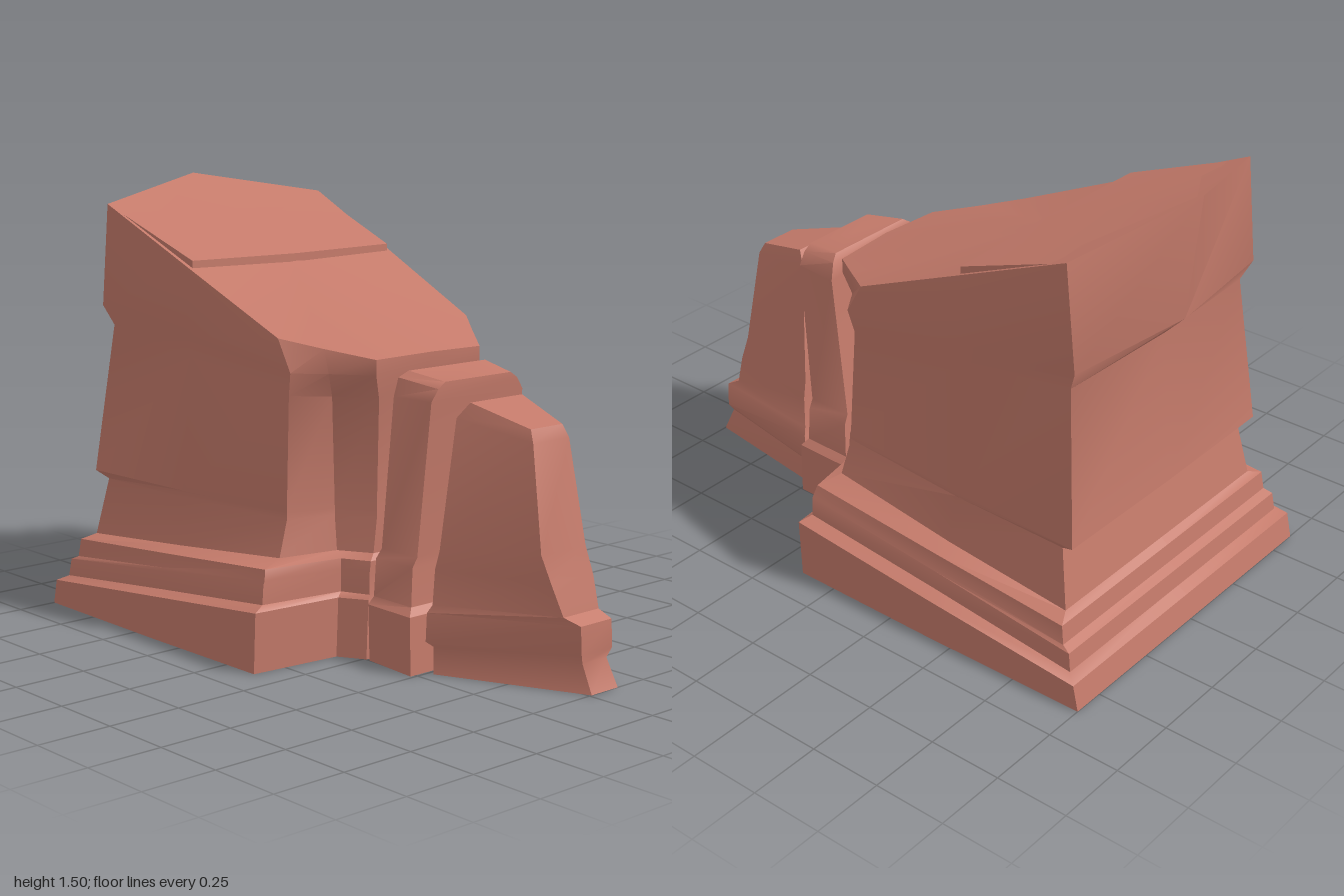
import * as THREE from 'three';
import { toCreasedNormals } from 'three/addons/utils/BufferGeometryUtils.js';

const stone = new THREE.MeshStandardMaterial({ color: 0xc47a6a });
stone.name = 'red sandstone';
const underside = new THREE.MeshStandardMaterial({ color: 0x55524e });
underside.name = 'dark underside';

// Joins stacked rings of [x, y, z] corners into a closed block.
// The centre of the top cap can be placed by hand.
function loft(name, rings, topCentre, crease = 0.6) {
  const pos = [];
  const tri = (a, b, c) => pos.push(...a, ...b, ...c);
  const centre = (r) => [0, 1, 2].map((k) => r.reduce((s, p) => s + p[k], 0) / r.length);
  const n = rings[0].length;
  for (let r = 0; r < rings.length - 1; r++) {
    for (let i = 0; i < n; i++) {
      const j = (i + 1) % n;
      const lo = rings[r], hi = rings[r + 1];
      tri(lo[i], lo[j], hi[j]);
      tri(lo[i], hi[j], hi[i]);
    }
  }
  const top = rings[rings.length - 1], bottom = rings[0];
  const tc = topCentre || centre(top), bc = centre(bottom);
  for (let i = 0; i < n; i++) tri(tc, top[i], top[(i + 1) % n]);
  const split = pos.length / 3;
  for (let i = 0; i < n; i++) tri(bc, bottom[(i + 1) % n], bottom[i]);

  const geo = new THREE.BufferGeometry();
  geo.setAttribute('position', new THREE.Float32BufferAttribute(pos, 3));
  geo.addGroup(0, split, 0);
  geo.addGroup(split, pos.length / 3 - split, 1);
  const mesh = new THREE.Mesh(toCreasedNormals(geo, crease), [stone, underside]);
  mesh.name = name;
  return mesh;
}

// Mirrors a half outline, which runs from the back centre to the nose centre.
const mirrorRing = (half) => [
  ...half,
  ...half.slice(1, -1).reverse().map(([x, y, z]) => [x, y, -z]),
];

// Ring of the main block; its height slopes from back to shoulder.
function bodyRing([yb, yf, xa, xb, zb, zm, xc, zc, xd, zd, xe, ze]) {
  const y = (x) => yb + (yf - yb) * Math.min(1, (x + 1) / 1.12);
  const pts = [[xa, 0], [xb, zb], [-0.4, zm], [xc, zc], [xd, zd], [xe, ze], [xe + 0.005, 0]];
  return mirrorRing(pts.map(([x, z]) => [x, y(x), z]));
}

// Four-cornered ring: y at both ends, x at both ends, half width, far-end z range.
const slabRing = ([y0, y1, x0, x1, z0, zn, zp]) => [
  [x0, y0, -z0], [x0, y0, z0], [x1, y1, zp], [x1, y1, zn],
];

export function createModel() {
  const group = new THREE.Group();
  group.name = 'brokenStonePedestal';

  // Stepped base, leaning wall and cornice of the main block
  const base = [
    [0, 0, -1, -1, 0.61, 0.62, 0.14, 0.62, 0.17, 0.3, 0.26, 0.25],
    [0.085, 0.2, -0.98, -0.98, 0.61, 0.62, 0.15, 0.62, 0.18, 0.3, 0.27, 0.25],
    [0.1, 0.215, -0.945, -0.945, 0.58, 0.575, 0.13, 0.575, 0.17, 0.28, 0.265, 0.24],
    [0.16, 0.28, -0.935, -0.935, 0.575, 0.57, 0.13, 0.57, 0.17, 0.28, 0.265, 0.24],
    [0.17, 0.29, -0.905, -0.905, 0.565, 0.565, 0.13, 0.565, 0.17, 0.28, 0.265, 0.24],
    [0.235, 0.325, -0.895, -0.895, 0.56, 0.56, 0.12, 0.555, 0.17, 0.28, 0.265, 0.235],
  ].map(bodyRing);
  const wall = [
    [0.25, 0.345, -0.87, -0.87, 0.51, 0.5, 0.09, 0.47, 0.14, 0.27, 0.25, 0.21],
    [0.46, 0.46, -0.83, -0.83, 0.48, 0.47, 0.08, 0.43, 0.13, 0.27, 0.255, 0.2],
    [0.485, 0.485, -0.885, -0.88, 0.5, 0.48, 0.08, 0.43, 0.13, 0.27, 0.255, 0.2],
    [1.03, 0.85, -0.84, -0.82, 0.45, 0.44, 0.07, 0.41, 0.13, 0.28, 0.265, 0.2],
    [1.09, 0.93, -0.91, -0.85, 0.475, 0.455, 0.09, 0.42, 0.16, 0.32, 0.285, 0.23],
  ].map(bodyRing);
  const roof = mirrorRing([
    [-0.95, 1.5, 0], [-0.81, 1.42, 0.475], [-0.4, 1.235, 0.45], [0.03, 1.04, 0.42],
    [0.15, 1.01, 0.33], [0.285, 0.98, 0.23], [0.295, 0.985, 0],
  ]);
  group.add(loft('mainBlock', [...base, ...wall, roof], [-0.4, 1.235, 0]));

  // Raised rear layer of the sloping top, ending in a low ledge
  const layer = (lift) => mirrorRing([
    [-0.945, 1.497, 0], [-0.81, 1.415, 0.465], [-0.39, 1.225 + lift, 0.435], [-0.375, 1.222 + lift, 0],
  ]);
  group.add(loft('roofLayer', [layer(-0.01), layer(0.03)], [-0.6, 1.342, 0]));

  // Leaning middle slab with its plinth
  group.add(loft('middleSlab', [
    [0, 0, 0.275, 0.49, 0.25, -0.25, 0.27],
    [0.19, 0.19, 0.28, 0.485, 0.26, -0.255, 0.27],
    [0.215, 0.215, 0.285, 0.465, 0.24, -0.235, 0.245],
    [0.34, 0.34, 0.29, 0.46, 0.235, -0.23, 0.235],
    [0.37, 0.37, 0.295, 0.46, 0.215, -0.215, 0.215],
    [0.87, 0.87, 0.35, 0.51, 0.215, -0.2, 0.205],
    [0.93, 0.91, 0.355, 0.515, 0.2, -0.17, 0.18],
    [0.95, 0.93, 0.37, 0.515, 0.17, -0.14, 0.15],
  ].map(slabRing)));

  // Tapering end slab with a moulded foot
  group.add(loft('endSlab', [
    [0, 0, 0.52, 1, 0.2, -0.13, -0.01],
    [0.09, 0.09, 0.52, 0.96, 0.2, -0.12, -0.01],
    [0.105, 0.12, 0.5, 0.965, 0.215, -0.14, 0],
    [0.2, 0.21, 0.505, 0.96, 0.215, -0.14, 0],
    [0.225, 0.235, 0.515, 0.915, 0.2, -0.13, 0.03],
    [0.34, 0.34, 0.52, 0.89, 0.195, -0.13, 0.06],
    [0.4, 0.43, 0.525, 0.865, 0.18, -0.12, 0.08],
    [0.82, 0.77, 0.555, 0.825, 0.14, -0.08, 0.08],
    [0.87, 0.81, 0.59, 0.805, 0.115, -0.07, 0.07],
  ].map(slabRing)));

  return group;
}
